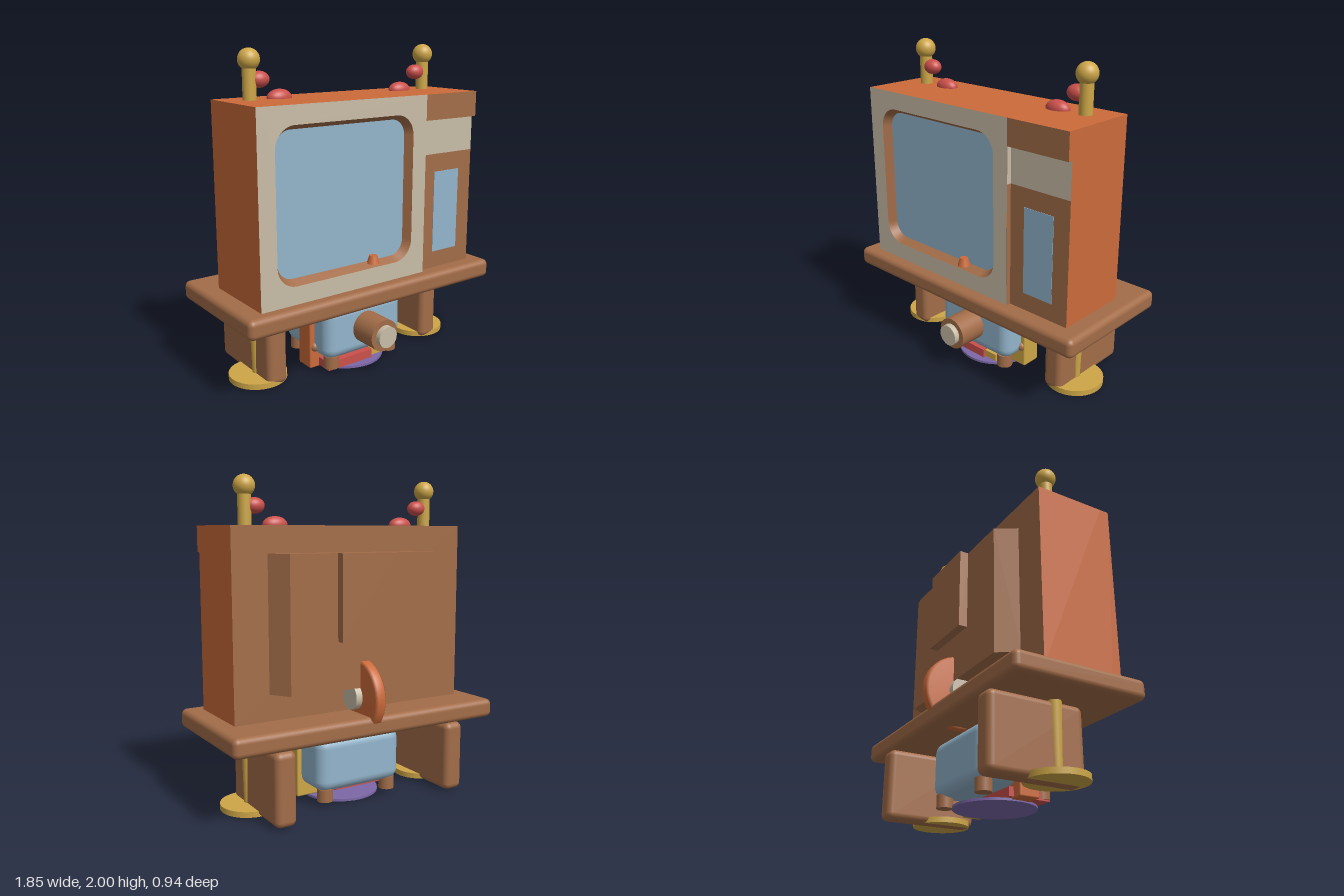
import * as THREE from 'three';
import { RoundedBoxGeometry } from 'three/addons/geometries/RoundedBoxGeometry.js';

const mat = (name, color) => Object.assign(new THREE.MeshStandardMaterial({ color }), { name });

export function createModel() {
  const root = new THREE.Group();
  root.name = 'televisionOnTable';
  const orange = mat('orange', 0xcb6a3a), brown = mat('brown', 0xa36d49), cream = mat('cream', 0xc9bda7);
  const blue = mat('blue', 0x93b5cc), gold = mat('gold', 0xcda647), red = mat('red', 0xcb504b);
  const purple = mat('purple', 0x7d68a8);

  const add = (name, geo, material, x = 0, y = 0, z = 0) => {
    const m = new THREE.Mesh(geo, material);
    m.name = name;
    m.position.set(x, y, z);
    root.add(m);
    return m;
  };
  // Boxes are given by their minimum and maximum corners
  const box = (name, material, a, b, radius = 0) => {
    const s = a.map((v, i) => b[i] - v), c = a.map((v, i) => (v + b[i]) / 2);
    const geo = radius ? new RoundedBoxGeometry(...s, 4, radius) : new THREE.BoxGeometry(...s);
    return add(name, geo, material, ...c);
  };
  const cyl = (name, material, r, h, x, y, z, axis = 'y') => {
    const geo = new THREE.CylinderGeometry(r, r, h, 40);
    if (axis === 'x') geo.rotateZ(Math.PI / 2);
    if (axis === 'z') geo.rotateX(Math.PI / 2);
    return add(name, geo, material, x, y, z);
  };
  const roundedRect = (target, x0, y0, x1, y1, r) => {
    target.moveTo(x0 + r, y0);
    target.lineTo(x1 - r, y0);
    target.absarc(x1 - r, y0 + r, r, -Math.PI / 2, 0);
    target.lineTo(x1, y1 - r);
    target.absarc(x1 - r, y1 - r, r, 0, Math.PI / 2);
    target.lineTo(x0 + r, y1);
    target.absarc(x0 + r, y1 - r, r, Math.PI / 2, Math.PI);
    target.lineTo(x0, y0 + r);
    target.absarc(x0 + r, y0 + r, r, Math.PI, Math.PI * 1.5);
    return target;
  };

  // Table top
  box('tableTop', brown, [-0.925, 0.455, -0.42], [0.925, 0.575, 0.42], 0.035);

  // Cabinet with brown back
  box('cabinet', [orange, orange, orange, orange, brown, brown], [-0.81, 0.575, -0.165], [0.81, 1.71, 0.285]);

  // Screen frame
  const frame = new THREE.Shape([[-0.81, 0.575], [0.385, 0.575], [0.385, 1.71], [-0.81, 1.71]]
    .map(p => new THREE.Vector2(...p)));
  const opening = roundedRect(new THREE.Path(), -0.7, 0.685, 0.28, 1.6, 0.13);
  const inner = roundedRect(new THREE.Shape(), -0.67, 0.715, 0.25, 1.57, 0.1);
  frame.holes.push(opening);
  add('screenFrame', new THREE.ExtrudeGeometry(frame, { depth: 0.06, bevelEnabled: false, curveSegments: 12 }),
    [cream, orange], 0, 0, 0.285);

  // Sloping bezel between the frame opening and the screen
  const outerPts = opening.getPoints(12), innerPts = inner.getPoints(12);
  const pos = [], idx = [];
  outerPts.forEach((p, i) => {
    pos.push(p.x, p.y, 0.344, innerPts[i].x, innerPts[i].y, 0.292);
    if (i < outerPts.length - 1) {
      const a = i * 2;
      idx.push(a, a + 2, a + 1, a + 1, a + 2, a + 3);
    }
  });
  const bezel = new THREE.BufferGeometry();
  bezel.setAttribute('position', new THREE.Float32BufferAttribute(pos, 3));
  bezel.setIndex(idx);
  bezel.computeVertexNormals();
  const bezelMaterial = brown.clone();
  bezelMaterial.side = THREE.DoubleSide;
  add('screenBezel', bezel, bezelMaterial);
  add('screen', new THREE.ShapeGeometry(inner, 12), blue, 0, 0, 0.293);
  add('screenKnob', new THREE.CylinderGeometry(0.025, 0.04, 0.05, 20), orange, 0, 0.728, 0.315);

  // Control panel, set back under a shallow overhang
  const facing = front => [orange, brown, orange, brown, front, brown];
  box('controlPanel', facing(brown), [0.385, 0.575, 0.285], [0.81, 1.33, 0.315]);
  box('speakerPanel', facing(cream), [0.385, 1.33, 0.285], [0.81, 1.55, 0.315]);
  box('panelOverhang', facing(brown), [0.385, 1.55, 0.285], [0.81, 1.71, 0.345]);
  box('controlWindow', blue, [0.49, 0.685, 0.312], [0.7, 1.215, 0.318]);
  box('frameEdgeLower', brown, [0.383, 0.575, 0.315], [0.387, 1.33, 0.3445]);
  box('frameEdgeUpper', cream, [0.383, 1.33, 0.315], [0.387, 1.55, 0.3445]);

  // Tapered rear housing
  const housing = new THREE.Shape([[-0.59, 0.16], [0.59, 0.16], [0.51, 0.29], [-0.51, 0.29]]
    .map(p => new THREE.Vector2(...p)));
  const housingGeo = new THREE.ExtrudeGeometry(housing, { depth: 0.815, bevelEnabled: false });
  housingGeo.rotateX(-Math.PI / 2);
  add('rearHousing', housingGeo, brown, 0, 0.735, 0);
  box('rearCover', brown, [-0.195, 1.03, -0.345], [0.195, 1.55, -0.28]);

  // Rear wheel with hub
  const wheel = new THREE.LatheGeometry([[0, -0.038], [0.215, -0.038], [0.23, -0.023], [0.23, 0.023],
    [0.215, 0.038], [0, 0.038]].map(p => new THREE.Vector2(...p)), 48);
  wheel.rotateZ(Math.PI / 2);
  add('rearWheel', wheel, orange, 0, 0.675, -0.235);
  cyl('wheelHub', cream, 0.08, 0.16, 0, 0.675, -0.235, 'x');

  // Legs, stands, posts and antenna ornaments, mirrored
  for (const s of [-1, 1]) {
    const [x0, x1] = s > 0 ? [0.54, 0.675] : [-0.675, -0.54];
    box('leg', brown, [x0, 0.01, -0.42], [x1, 0.455, 0.18], 0.04);
    cyl('standBase', gold, 0.18, 0.035, s * 0.65, 0.03, 0);
    add('standPost', new THREE.CylinderGeometry(0.04, 0.03, 0.42, 24), gold, s * 0.655, 0.25, 0);
    cyl('antennaPost', gold, 0.04, 0.22, s * 0.65, 1.8, 0);
    add('antennaBall', new THREE.SphereGeometry(0.064, 32, 20), gold, s * 0.65, 1.936, 0);
    add('upperBead', new THREE.SphereGeometry(1, 28, 18), red, s * 0.587, 1.823, 0).scale.set(0.063, 0.048, 0.05);
    add('lowerBead', new THREE.SphereGeometry(1, 28, 18), red, s * 0.455, 1.713, 0).scale.set(0.08, 0.051, 0.052);
  }

  // Projector under the table
  box('projectorBody', blue, [-0.3, 0.09, -0.25], [0.3, 0.435, 0.25], 0.07);
  cyl('lensBarrel', brown, 0.102, 0.2, 0, 0.265, 0.335, 'z');
  cyl('lensGlass', cream, 0.068, 0.06, 0, 0.265, 0.44, 'z');
  for (const x of [-0.23, 0.23]) {
    for (const z of [-0.19, 0.19]) cyl('projectorFoot', brown, 0.05, 0.08, x, 0.07, z);
    add('sideKnob', new THREE.SphereGeometry(0.032, 20, 14), brown, Math.sign(x) * 0.295, 0.15, 0.1);
  }

  // Supports and small tray beneath the projector
  box('orangeSupport', orange, [-0.335, 0.01, -0.02], [-0.13, 0.455, 0.11], 0.01);
  box('goldSupport', gold, [0.14, 0.015, -0.02], [0.33, 0.455, 0.11], 0.01);
  box('redTray', red, [-0.27, 0.02, -0.05], [0.07, 0.075, 0.22]);
  box('goldClip', gold, [0.075, 0.03, 0.12], [0.17, 0.075, 0.21]);
  cyl('floorDisc', purple, 0.25, 0.015, 0, 0.01, 0.02);

  return root;
}
